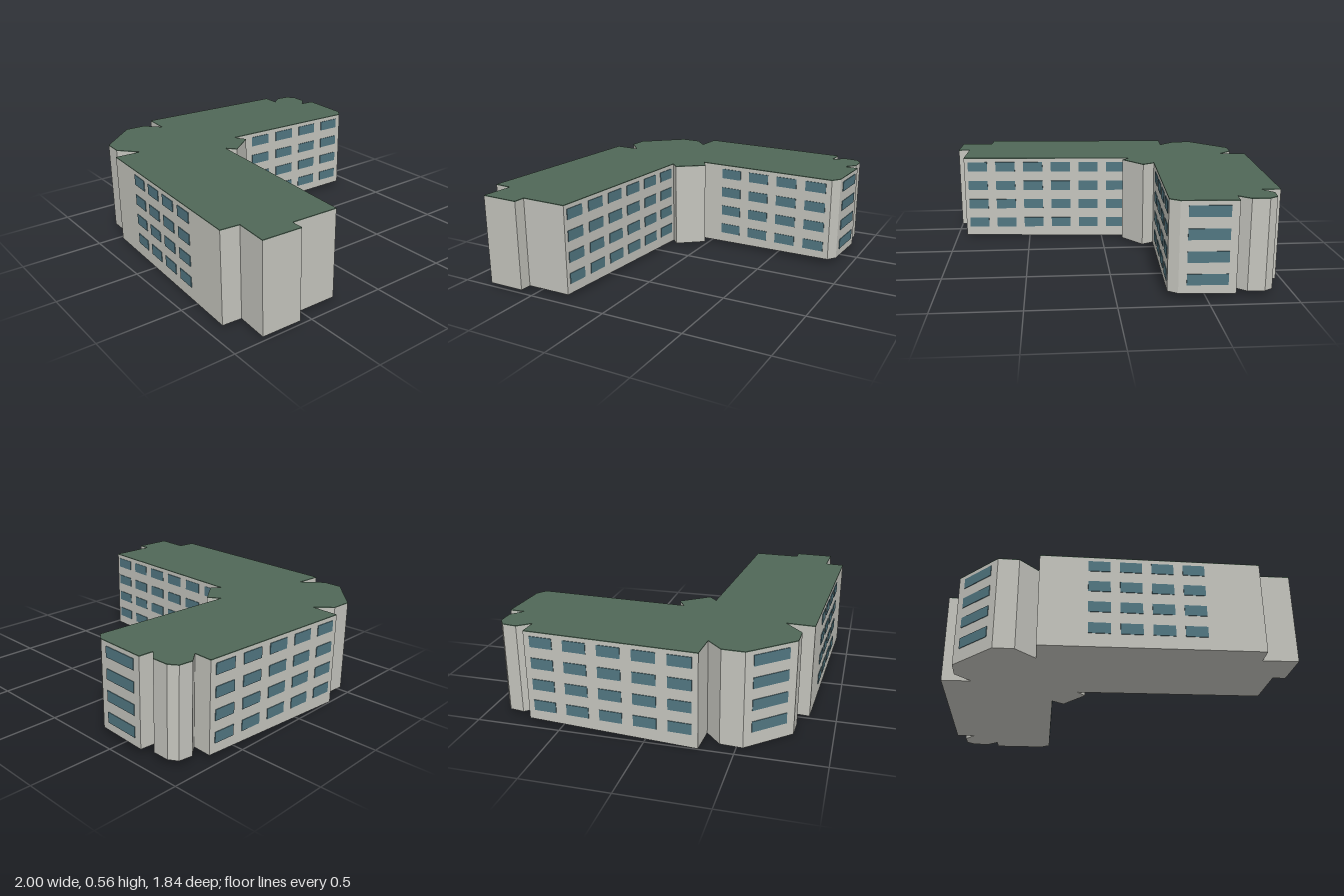
import * as THREE from 'three';

const HEIGHT = 0.563;
const ROOF = 0.005;

// Floor plan as (x, z), clockwise seen from above
const PLAN = [
  [-0.66, -0.92], [-0.34, -0.905], [-0.285, -0.865], [-0.33, 0.05],
  [-0.255, 0.005], [-0.135, 0.165], [-0.19, 0.215], [0.93, 0.285],
  [0.92, 0.575], [0.995, 0.575], [0.985, 0.815], [0.78, 0.8],
  [0.77, 0.915], [-0.475, 0.845], [-0.465, 0.68], [-0.585, 0.785],
  [-0.705, 0.78], [-0.925, 0.535], [-0.92, 0.405], [-0.825, 0.315],
  [-1, 0.305], [-0.945, -0.7], [-0.83, -0.695], [-0.89, -0.77],
  [-0.88, -0.855], [-0.83, -0.89], [-0.73, -0.89], [-0.665, -0.83],
];

// Walls with windows: plan corner, first centre along the wall, pitch, columns, width
const WINDOW_WALLS = [
  { name: 'northEndWindows', corner: 0, first: 0.16, pitch: 0, count: 1, width: 0.23 },
  { name: 'northWingEastWindows', corner: 2, first: 0.105, pitch: 0.2, count: 4, width: 0.138 },
  { name: 'courtyardWindows', corner: 6, first: 0.097, pitch: 0.187, count: 6, width: 0.13 },
  { name: 'frontWindows', corner: 12, first: 0.382, pitch: 0.177, count: 4, width: 0.124 },
  { name: 'cornerWindows', corner: 16, first: 0.165, pitch: 0, count: 1, width: 0.225 },
  { name: 'westWindows', corner: 20, first: 0.102, pitch: 0.2, count: 5, width: 0.135 },
];
const WINDOW_ROWS = [0.115, 0.245, 0.374, 0.503];

function slab(depth) {
  const shape = new THREE.Shape(PLAN.map(([x, z]) => new THREE.Vector2(x, -z)));
  const geo = new THREE.ExtrudeGeometry(shape, { depth, bevelEnabled: false });
  return geo.rotateX(-Math.PI / 2);
}

export function createModel() {
  const building = new THREE.Group();
  building.name = 'apartmentBuilding';
  const wallMat = new THREE.MeshStandardMaterial({ name: 'wall grey', color: 0xc4c4bd });
  const roofMat = new THREE.MeshStandardMaterial({ name: 'roof green', color: 0x506757 });
  const glassMat = new THREE.MeshStandardMaterial({ name: 'window blue', color: 0x517681 });

  // Walls, with the base following gently sloping ground
  const wallGeo = slab(HEIGHT - ROOF);
  const pos = wallGeo.attributes.position;
  for (let i = 0; i < pos.count; i++) {
    if (pos.getY(i) < 0.1) {
      pos.setY(i, Math.max(0, 0.02 + 0.01 * pos.getX(i) - 0.02 * pos.getZ(i)));
    }
  }
  wallGeo.computeVertexNormals();
  const walls = new THREE.Mesh(wallGeo, wallMat);
  walls.name = 'walls';
  building.add(walls);

  // Flat roof
  const roof = new THREE.Mesh(slab(ROOF), roofMat);
  roof.name = 'roof';
  roof.position.y = HEIGHT - ROOF;
  building.add(roof);

  // Window grids, placed along each wall and facing outward
  for (const { name, corner, first, pitch, count, width } of WINDOW_WALLS) {
    const [ax, az] = PLAN[corner];
    const [bx, bz] = PLAN[corner + 1];
    const length = Math.hypot(bx - ax, bz - az);
    const dx = (bx - ax) / length;
    const dz = (bz - az) / length;
    const group = new THREE.Group();
    group.name = name;
    const pane = new THREE.BoxGeometry(width, 0.064, 0.008);
    for (let c = 0; c < count; c++) {
      const d = first + c * pitch;
      for (const y of WINDOW_ROWS) {
        const win = new THREE.Mesh(pane, glassMat);
        win.name = 'window';
        win.position.set(ax + dx * d, y, az + dz * d);
        win.rotation.y = Math.atan2(dz, -dx);
        group.add(win);
      }
    }
    building.add(group);
  }
  return building;
}
